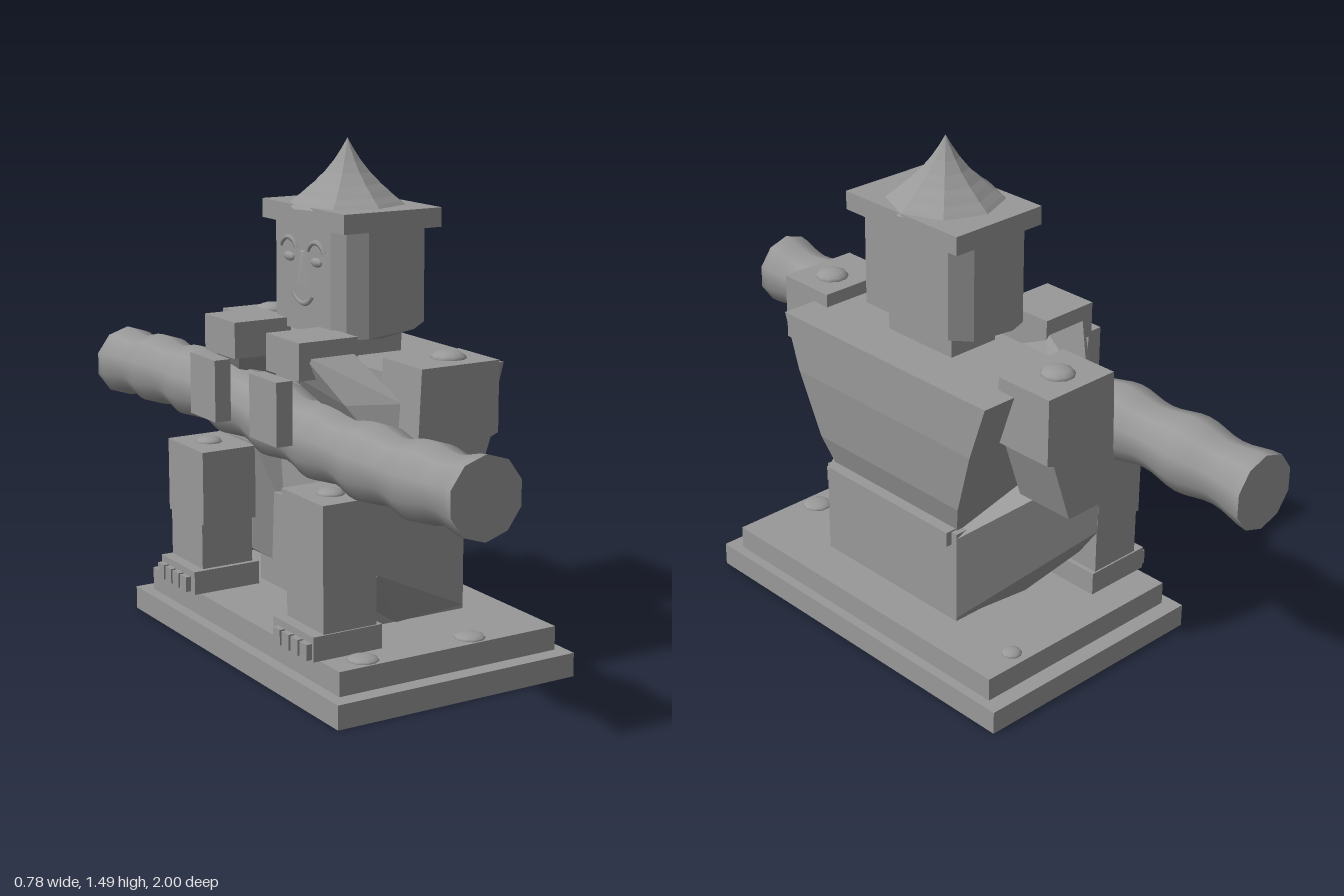
import * as THREE from 'three';
import { ConvexGeometry } from 'three/addons/geometries/ConvexGeometry.js';

export function createModel() {
  const root = new THREE.Group();
  root.name = 'statue';
  const stone = new THREE.MeshStandardMaterial({ color: 0x999999 });
  stone.name = 'grey stone';
  const stoneFlat = stone.clone();
  stoneFlat.name = 'grey stone faceted';
  stoneFlat.flatShading = true;

  const add = (name, geo, parent = root, mat = stone) => {
    const m = new THREE.Mesh(geo, mat);
    m.name = name;
    parent.add(m);
    return m;
  };
  // box from its limits on each axis
  const box = (name, x0, x1, y0, y1, z0, z1, parent) => {
    const m = add(name, new THREE.BoxGeometry(x1 - x0, y1 - y0, Math.abs(z1 - z0)), parent);
    m.position.set((x0 + x1) / 2, (y0 + y1) / 2, (z0 + z1) / 2);
    return m;
  };
  const hull = (name, pts, parent) =>
    add(name, new ConvexGeometry(pts.map(p => new THREE.Vector3(...p))), parent, stoneFlat);
  const stud = (x, y, z, r = 0.045, h = 0.018) => {
    const m = add('stud', new THREE.SphereGeometry(r, 10, 4, 0, Math.PI * 2, 0, Math.PI / 2));
    m.scale.y = h / r;
    m.position.set(x, y, z);
  };

  // stepped base
  box('baseLower', -0.39, 0.39, 0, 0.07, -0.6, 0.6);
  box('baseUpper', -0.355, 0.36, 0.07, 0.14, -0.55, 0.55);
  stud(0.225, 0.14, -0.5, 0.03, 0.014);
  for (const x of [-0.25, 0.1]) stud(x, 0.14, 0.5, 0.045, 0.014);

  // pelvis and belt
  box('pelvis', -0.125, 0.23, 0.14, 0.43, -0.28, 0.28);
  box('belt', 0, 0.25, 0.39, 0.435, -0.26, 0.26);

  // torso widens to the shoulders, with a bowed back
  const torso = [];
  for (const [y, back, w] of [[0.42, 0.21, 0.26], [0.52, 0.24, 0.295], [0.72, 0.26, 0.362], [0.89, 0.26, 0.42]])
    for (const s of [-1, 1]) torso.push([-0.1, y, s * w], [back, y, s * w]);
  hull('torso', torso);
  box('neck', -0.06, 0.11, 0.87, 1.0, -0.13, 0.13);

  // head with chamfered corners and a sloping underside
  const head = [];
  for (const s of [-1, 1]) {
    for (const [x, z, low] of [[-0.138, 0.15, 0.95], [-0.11, 0.19, 0.95], [-0.05, 0.21, 0.95], [0.1, 0.21, 0.965], [0.16, 0.17, 0.975]])
      head.push([x, 1.26, s * z], [x, low, s * z]);
    head.push([0.02, 0.94, s * 0.17]);
  }
  hull('head', head);

  // face in low relief
  const face = new THREE.Group();
  face.name = 'face';
  face.position.set(-0.138, 0, 0);
  face.rotation.y = -Math.PI / 2;
  root.add(face);
  for (const s of [-1, 1]) {
    const brow = add('eyebrow', new THREE.TorusGeometry(0.05, 0.008, 5, 10, Math.PI * 0.7), face);
    brow.position.set(s * 0.075, 1.16, 0);
    brow.rotation.z = Math.PI * 0.15;
    const eye = add('eye', new THREE.SphereGeometry(0.03, 10, 6), face);
    eye.scale.set(1, 0.45, 0.3);
    eye.position.set(s * 0.075, 1.155, 0);
  }
  hull('nose', [[-0.012, 1.18, 0], [0.012, 1.18, 0], [-0.035, 1.08, 0], [0.035, 1.08, 0], [0, 1.175, 0.005], [0, 1.085, 0.018]], face);
  const mouth = add('mouth', new THREE.TorusGeometry(0.065, 0.008, 5, 12, Math.PI * 0.6), face);
  mouth.position.set(0, 1.095, 0);
  mouth.rotation.z = Math.PI * 1.2;

  // hat slab with an eight-sided, slightly hollow and ridged cone
  box('hatSlab', -0.14, 0.18, 1.25, 1.305, -0.225, 0.225);
  const cone = [];
  for (let i = 0; i <= 12; i++) {
    const t = i / 12;
    cone.push(new THREE.Vector2(0.176 * (1 - t) - 0.022 * Math.sin(Math.PI * t) + (i % 2) * 0.002 * (1 - t), 1.298 + 0.192 * t));
  }
  add('hatCone', new THREE.LatheGeometry(cone, 8), root, stoneFlat).position.x = 0.01;

  // bulging staff along z
  const staffGeo = new THREE.CylinderGeometry(0.1, 0.1, 2, 10, 64);
  staffGeo.rotateX(Math.PI / 2);
  const p = staffGeo.attributes.position;
  for (let i = 0; i < p.count; i++) {
    const z = p.getZ(i);
    const k = (0.103 + 0.009 * Math.cos(z * Math.PI * 8)) / 0.1;
    p.setXY(i, p.getX(i) * k, p.getY(i) * k - 0.08 * z * (1 - Math.abs(z)));
  }
  staffGeo.computeVertexNormals();
  add('staff', staffGeo).position.set(-0.21, 0.7, 0);

  // upper arm outline in x and y
  const armShape = new THREE.Shape([[-0.1, 0.93], [-0.12, 0.53], [0.06, 0.53], [0.125, 0.72], [0.15, 0.73], [0.15, 0.93]]
    .map(a => new THREE.Vector2(...a)));

  for (const s of [-1, 1]) {
    const part = n => (s > 0 ? 'left' : 'right') + n;
    const sbox = (n, x0, x1, y0, y1, z0, z1) => box(part(n), x0, x1, y0, y1, s * z0, s * z1);

    // arm and hand gripping the staff
    const arm = add(part('UpperArm'), new THREE.ExtrudeGeometry(armShape, { depth: 0.19, bevelEnabled: false }));
    arm.position.z = s > 0 ? 0.36 : -0.55;
    stud(s > 0 ? 0.05 : 0.02, 0.93, s * 0.455, 0.05, 0.022);
    hull(part('Forearm'), [
      [-0.29, 0.94, s * 0.25], [-0.14, 0.94, s * 0.25], [-0.28, 0.88, s * 0.12], [-0.14, 0.88, s * 0.12],
      [-0.22, 0.81, s * 0.36], [-0.1, 0.82, s * 0.46], [-0.1, 0.62, s * 0.46], [-0.05, 0.62, s * 0.37], [-0.05, 0.8, s * 0.37],
    ]);
    sbox('Hand', -0.31, -0.125, 0.87, 0.975, 0.09, 0.27);
    sbox('Fingers', -0.37, -0.32, 0.69, 0.87, 0.1, 0.25);

    // bent leg: thigh tapering back into the pelvis
    sbox('Knee', -0.345, -0.17, 0.35, 0.57, 0.23, 0.45);
    hull(part('Thigh'), [
      [-0.172, 0.57, s * 0.23], [-0.172, 0.57, s * 0.45], [-0.172, 0.25, s * 0.25], [-0.172, 0.25, s * 0.38], [-0.172, 0.35, s * 0.45],
      [-0.02, 0.15, s * 0.12], [-0.02, 0.15, s * 0.31], [0.23, 0.15, s * 0.05], [0.23, 0.15, s * 0.28],
      [0.23, 0.415, s * 0.05], [0.23, 0.415, s * 0.28],
    ]);
    stud(-0.26, 0.57, s * 0.35, 0.04, 0.016);
    sbox('Shin', -0.34, -0.172, 0.2, 0.36, 0.25, 0.445);
    sbox('Foot', -0.375, -0.157, 0.14, 0.21, 0.235, 0.45);
    for (let i = 0; i < 4; i++) {
      const z = 0.26 + i * 0.048;
      sbox('Toe', -0.392, -0.37, 0.145, 0.19, z, z + 0.038);
    }
  }
  return root;
}
